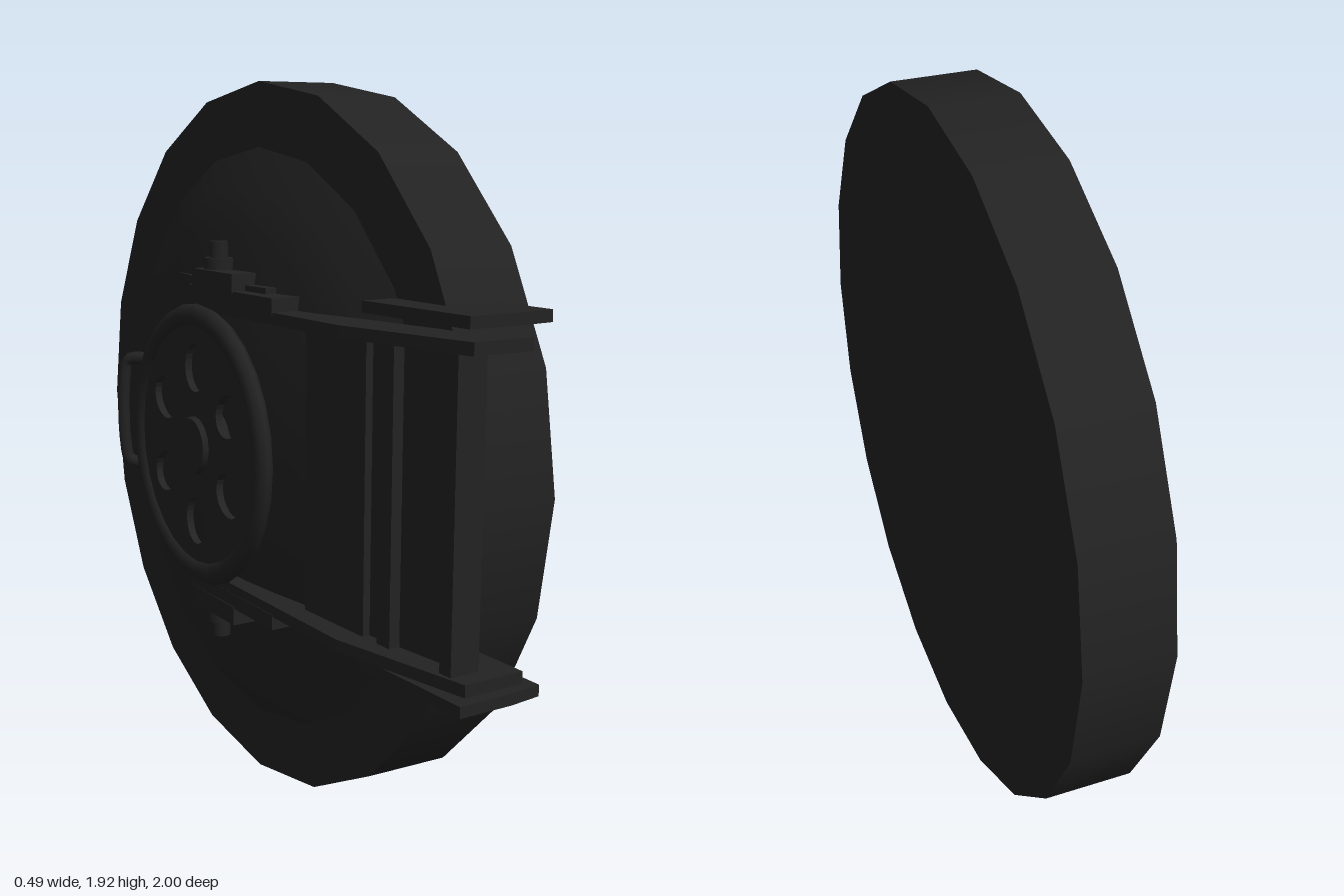
import * as THREE from 'three';

const MID = 0.965; // height of the door centre
const TILT = -0.039; // door is slightly ajar

export function createModel() {
  const model = new THREE.Group();
  model.name = 'vaultDoor';
  const steel = new THREE.MeshStandardMaterial({ color: 0x222222 });
  steel.name = 'darkSteel';

  const add = (parent, name, geo, x = 0, y = 0, z = 0) => {
    const mesh = new THREE.Mesh(geo, steel);
    mesh.name = name;
    mesh.position.set(x, y, z);
    parent.add(mesh);
    return mesh;
  };
  // Solid of revolution whose axis points to -x
  const turned = (pts, seg) =>
    new THREE.LatheGeometry(pts.map(p => new THREE.Vector2(...p)), seg).rotateZ(Math.PI / 2);
  // Horizontal plate from an outline in x and z, between two heights
  const plate = (pts, y0, y1) => {
    const shape = new THREE.Shape(pts.map(p => new THREE.Vector2(...p)));
    return new THREE.ExtrudeGeometry(shape, { depth: y1 - y0, bevelEnabled: false })
      .rotateX(Math.PI / 2).translate(0, y1, 0);
  };

  // Door slab with a domed inner side
  const door = new THREE.Group();
  door.name = 'door';
  door.position.set(0, MID, -0.04);
  door.rotation.y = TILT;
  model.add(door);
  add(door, 'outerFace', turned([[0, -0.2], [0.96, -0.2]], 20));
  add(door, 'rim', turned([[0.96, -0.2], [0.96, 0.03]], 20));
  add(door, 'innerRing', turned([[0.96, 0.03], [0.79, 0.03]], 20));
  add(door, 'dome', turned([[0.79, 0.03], [0.69, 0.072], [0.58, 0.105], [0.36, 0.145], [0.17, 0.168], [0, 0.17]], 20));

  // Hand wheel with six openings
  const wheel = new THREE.Group();
  wheel.name = 'handWheel';
  wheel.position.set(-0.215, MID, -0.055);
  wheel.rotation.y = TILT;
  model.add(wheel);
  add(wheel, 'wheelRing', new THREE.TorusGeometry(0.35, 0.032, 8, 28).scale(1, 1, 0.75).rotateY(Math.PI / 2));
  const disc = new THREE.Shape().absarc(0, 0, 0.34, 0, Math.PI * 2);
  for (let i = 0; i < 6; i++) {
    const a = Math.PI / 2 + i * Math.PI / 3;
    disc.holes.push(new THREE.Path().absellipse(
      0.21 * Math.cos(a), 0.21 * Math.sin(a), 0.065, 0.055, 0, Math.PI * 2, true, a));
  }
  add(wheel, 'wheelDisc', new THREE.ExtrudeGeometry(disc, { depth: 0.02, bevelEnabled: false, curveSegments: 12 })
    .translate(0, 0, -0.01).rotateY(Math.PI / 2));
  add(wheel, 'hub', new THREE.CylinderGeometry(0.075, 0.085, 0.035, 16).rotateZ(Math.PI / 2), -0.008);
  add(wheel, 'shaft', new THREE.CylinderGeometry(0.1, 0.1, 0.06, 16).rotateZ(Math.PI / 2), 0.035);

  // Pull handle standing off the dome
  const handlePath = new THREE.CatmullRomCurve3([
    [-0.07, -0.16, -0.58], [-0.125, -0.155, -0.645], [-0.135, -0.1, -0.655],
    [-0.135, 0.1, -0.655], [-0.125, 0.155, -0.645], [-0.07, 0.16, -0.58],
  ].map(p => new THREE.Vector3(...p)));
  add(model, 'pullHandle', new THREE.TubeGeometry(handlePath, 24, 0.019, 8), 0, MID, 0);

  // Matching hinge parts above and below the centre
  for (const s of [1, -1]) {
    const side = s > 0 ? 'upper' : 'lower';
    const level = (name, pts, a, b) =>
      add(model, side + name, plate(pts, MID + Math.min(s * a, s * b), MID + Math.max(s * a, s * b)));

    level('HingePlate', [[-0.15, 0.6], [0.09, 0.6], [0.09, 0.975], [0, 0.985], [-0.15, 0.985]], 0.415, 0.443);
    level('HingeArm', [[-0.15, 1], [-0.215, 0.6], [-0.185, -0.16], [-0.11, -0.16],
      [-0.11, 0.4], [-0.06, 0.8], [0.015, 0.8], [0.015, 1]], 0.36, 0.39);
    level('ArmBoss', [[-0.205, 0.3], [-0.185, -0.16], [-0.11, -0.16], [-0.11, 0.3]], 0.385, 0.425);
    level('ArmLug', [[-0.2, 0.1], [-0.187, -0.13], [-0.11, -0.13], [-0.11, 0.1]], 0.42, 0.47);
    level('DoorBracket', [[-0.16, 0.2], [-0.16, -0.1], [-0.105, -0.35], [-0.05, -0.35], [-0.05, 0.2]], 0.41, 0.44);

    // Hinge pin with a collar
    add(model, side + 'Pin', new THREE.CylinderGeometry(0.025, 0.025, 0.16, 12), -0.15, MID + s * 0.465, -0.05);
    add(model, side + 'PinCollar', new THREE.CylinderGeometry(0.04, 0.04, 0.03, 12), -0.15, MID + s * 0.487, -0.05);
  }

  // Upright web plates joining the two arms
  add(model, 'innerWeb', plate([[-0.15, 0.37], [-0.15, 0.62], [-0.11, 0.62], [-0.11, 0.37]], MID - 0.37, MID + 0.37));
  add(model, 'outerWeb', plate([[-0.13, 0.62], [-0.1, 0.95], [-0.07, 0.95], [-0.1, 0.62]], MID - 0.37, MID + 0.37));
  add(model, 'webPost', new THREE.BoxGeometry(0.05, 0.74, 0.05), -0.125, MID, 0.7);
  add(model, 'edgePost', new THREE.BoxGeometry(0.08, 0.74, 0.04), -0.11, MID, 0.93);

  return model;
}
